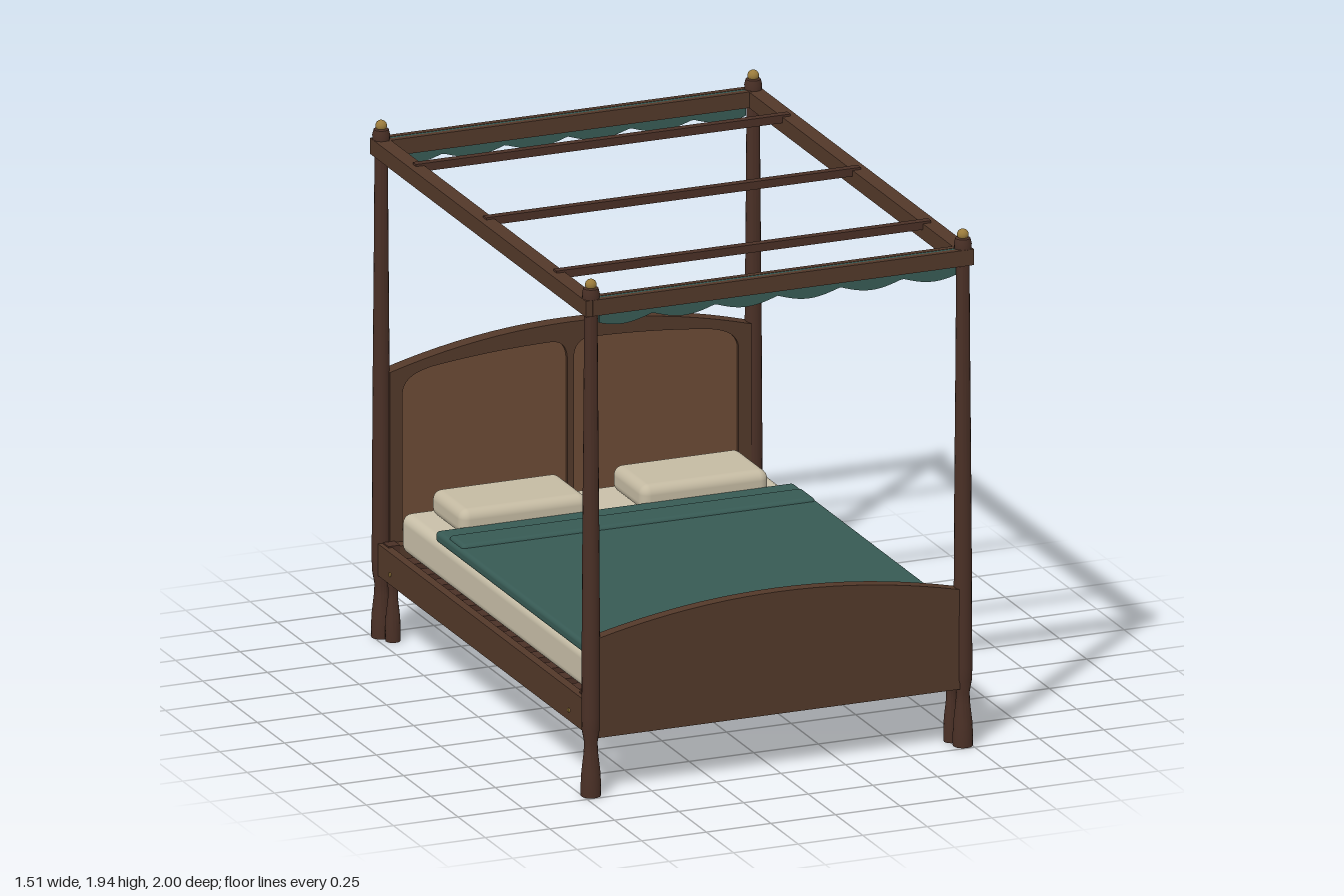
import * as THREE from 'three';
import { RoundedBoxGeometry } from 'three/addons/geometries/RoundedBoxGeometry.js';
import { toCreasedNormals } from 'three/addons/utils/BufferGeometryUtils.js';

const mat = (color, extra = {}) => {
  const m = new THREE.MeshStandardMaterial(extra);
  m.color.set(color);
  return m;
};

export function createModel() {
  const bed = new THREE.Group();
  bed.name = 'canopyBed';
  const wood = mat(0x523829), darkWood = mat(0x4a3026), panelWood = mat(0x6b4a35);
  const linen = mat(0xc8bfa8), pillowCloth = mat(0xc4baa2);
  const green = mat(0x375a54), brass = mat(0x9a7b3c);
  const drape = mat(0x375a54, { side: THREE.DoubleSide });

  const add = (name, geo, material, x = 0, y = 0, z = 0, parent = bed) => {
    const m = new THREE.Mesh(geo, material);
    m.name = name;
    m.position.set(x, y, z);
    parent.add(m);
    return m;
  };
  // Box and soft box given by their extents on each axis
  const box = (name, material, [x0, x1], [y0, y1], [z0, z1], r = 0) => add(name,
    r ? new RoundedBoxGeometry(x1 - x0, y1 - y0, z1 - z0, 3, r)
      : new THREE.BoxGeometry(x1 - x0, y1 - y0, z1 - z0),
    material, (x0 + x1) / 2, (y0 + y1) / 2, (z0 + z1) / 2);
  const lathe = (pts) => toCreasedNormals(
    new THREE.LatheGeometry(pts.map(([r, y]) => new THREE.Vector2(r, y)), 16), 0.7);
  const extrude = (shape, depth) => toCreasedNormals(new THREE.ExtrudeGeometry(shape,
    { depth, bevelEnabled: false, curveSegments: 20 }), 0.5);

  // Turned corner posts, inner legs and finials
  const foot = [[0, 0], [0.036, 0], [0.037, 0.03], [0.034, 0.09], [0.026, 0.16], [0.024, 0.2]];
  const postGeo = lathe([...foot, [0.033, 0.25], [0.034, 0.3], [0.031, 0.9],
    [0.026, 1.5], [0.024, 1.8], [0.024, 1.865], [0.031, 1.872], [0.032, 1.89],
    [0.027, 1.91], [0.014, 1.916], [0, 1.916]]);
  const legGeo = lathe([[0, 0], [0.027, 0], [0.028, 0.03], [0.026, 0.09], [0.018, 0.16],
    [0.018, 0.2], [0.026, 0.235], [0.026, 0.25], [0, 0.25]]);
  const ballGeo = new THREE.SphereGeometry(0.021, 16, 12);
  const boltGeo = new THREE.CylinderGeometry(0.008, 0.008, 0.008, 12).rotateZ(Math.PI / 2);
  for (const sx of [-1, 1]) {
    for (const sz of [-1, 1]) {
      add('cornerPost', postGeo, darkWood, sx * 0.72, 0, sz * 0.962);
      add('finial', ballGeo, brass, sx * 0.72, 1.923, sz * 0.962);
      add('innerLeg', legGeo, darkWood, sx * 0.7, 0, sz * 0.902);
      add('legBlock', new THREE.BoxGeometry(0.045, 0.122, 0.05), darkWood, sx * 0.705, 0.304, sz * 0.902);
      add('railBolt', boltGeo, brass, sx * 0.745, 0.28, sz * 0.82);
    }
    // Side rails of the base and of the canopy
    add('sideRail', new THREE.BoxGeometry(0.032, 0.12, 1.87), wood, sx * 0.728, 0.3, 0);
    add('canopySideRail', new THREE.BoxGeometry(0.058, 0.06, 1.98), wood, sx * 0.722, 1.842, 0);
    add('slatLedge', new THREE.BoxGeometry(0.03, 0.025, 1.8), darkWood, sx * 0.698, 0.283, 0);
  }

  // Scalloped valance, hanging in a slot between the two strips of each canopy end rail
  const valance = new THREE.Shape();
  valance.moveTo(-0.69, 1.872);
  for (let i = 0; i <= 96; i++) {
    const x = -0.69 + (1.38 * i) / 96;
    valance.lineTo(x, 1.789 - 0.026 * Math.abs(Math.sin((Math.PI * x) / 0.242)));
  }
  valance.lineTo(0.69, 1.872);
  const valanceGeo = extrude(valance, 0.014);
  for (const sz of [-1, 1]) {
    add('valance', valanceGeo, drape, 0, 0, sz * 0.963 - 0.007);
    for (const off of [-0.019, 0.019])
      add('canopyEndRail', new THREE.BoxGeometry(1.45, 0.06, 0.022), wood, 0, 1.843, sz * 0.963 + off);
    add('endRail', new THREE.BoxGeometry(1.4, 0.12, 0.045), wood, 0, 0.3, sz * 0.904);
  }
  for (const z of [-0.645, 0, 0.645])
    box('canopySlat', darkWood, [-0.725, 0.725], [1.85, 1.88], [z - 0.015, z + 0.015]);

  // Arched boards
  const arch = (side, top) => {
    const s = new THREE.Shape();
    s.moveTo(-0.7, 0.22);
    s.lineTo(0.7, 0.22);
    s.lineTo(0.7, side);
    s.quadraticCurveTo(0, 2 * top - side, -0.7, side);
    s.closePath();
    return s;
  };
  add('footboard', extrude(arch(0.595, 0.68), 0.045), wood, 0, 0, 0.94);
  add('headboardBack', extrude(arch(1.0, 1.1), 0.03), wood, 0, 0, -0.986);
  const frame = arch(1.0, 1.1);
  for (const s of [-1, 1]) {
    const panel = (P) => {
      P.moveTo(s * 0.013, 0.4);
      P.lineTo(s * 0.65, 0.4);
      P.lineTo(s * 0.65, 0.92);
      P.quadraticCurveTo(s * 0.645, 0.985, s * 0.53, 1.003);
      P.quadraticCurveTo(s * 0.3, 1.032, s * 0.08, 1.033);
      P.quadraticCurveTo(s * 0.018, 1.033, s * 0.013, 0.97);
      P.closePath();
      return P;
    };
    frame.holes.push(panel(new THREE.Path()));
    add('headboardPanel', extrude(panel(new THREE.Shape()), 0.012), panelWood, 0, 0, -0.956);
  }
  add('headboardFrame', extrude(frame, 0.026), wood, 0, 0, -0.956);

  // Slatted base with centre beam and leg
  for (let i = 0; i < 14; i++) {
    const z = -0.82 + (1.64 * i) / 13;
    box('baseSlat', darkWood, [-0.712, 0.712], [0.295, 0.32], [z - 0.035, z + 0.035]);
  }
  box('centreBeam', wood, [-0.025, 0.025], [0.235, 0.295], [-0.89, 0.89]);
  add('centreLeg', new THREE.CylinderGeometry(0.021, 0.021, 0.24, 12), darkWood, 0, 0.12, 0);

  // Bedding
  box('mattress', linen, [-0.69, 0.69], [0.345, 0.495], [-0.86, 0.86], 0.035);
  box('blanket', green, [-0.694, 0.694], [0.487, 0.53], [-0.53, 0.85], 0.016);
  box('blanketFold', green, [-0.684, 0.684], [0.505, 0.543], [-0.43, -0.3], 0.016);
  for (const s of [-1, 1])
    add('pillow', new RoundedBoxGeometry(0.495, 0.1, 0.29, 4, 0.036), pillowCloth, s * 0.35, 0.541, -0.66);

  return bed;
}
